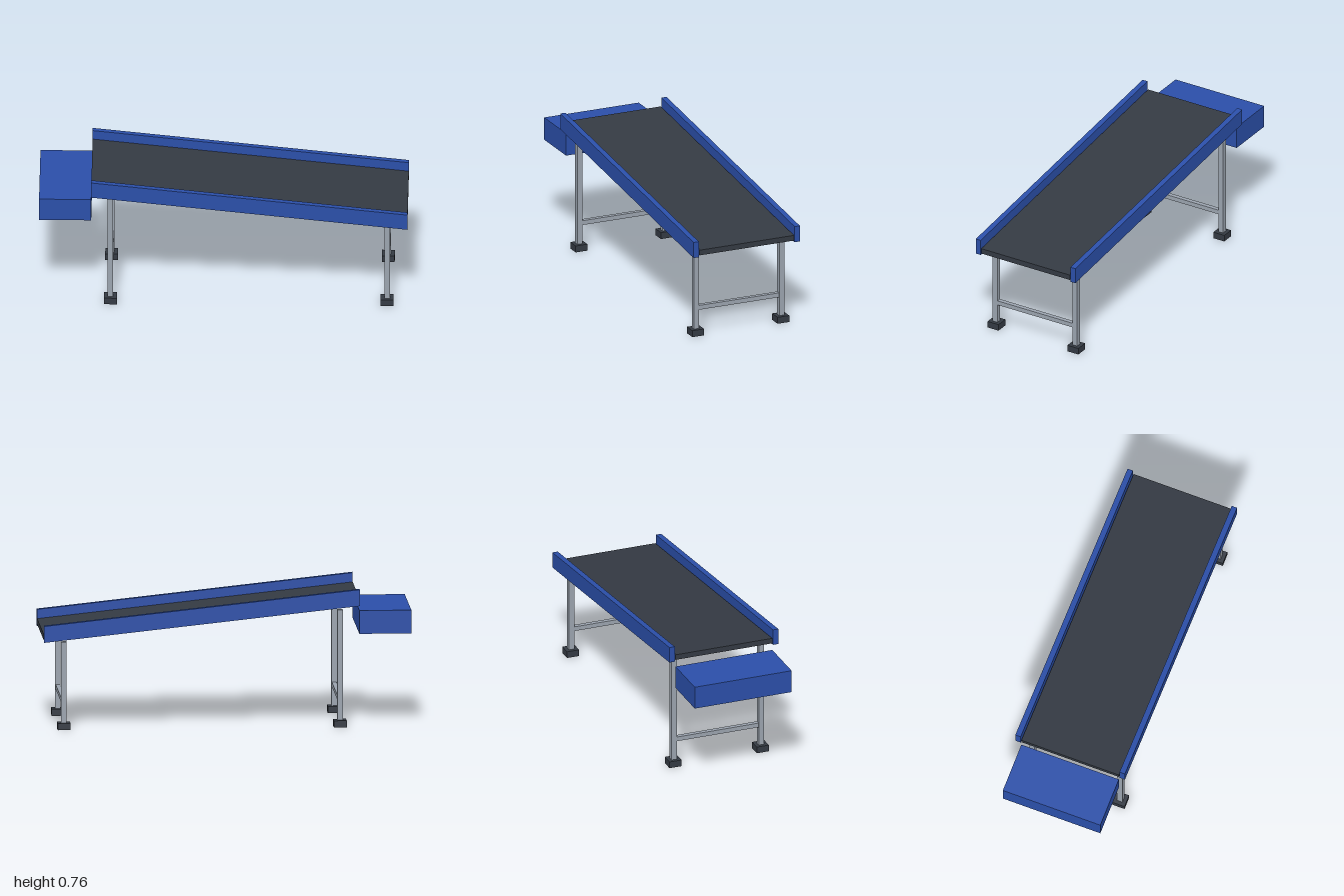
import * as THREE from 'three';

export function createModel() {
  const blue = new THREE.MeshStandardMaterial({ name: 'blue paint', color: 0x2b4fa9 });
  const dark = new THREE.MeshStandardMaterial({ name: 'dark rubber', color: 0x343a43 });
  const steel = new THREE.MeshStandardMaterial({ name: 'grey steel', color: 0x9ba4af });
  const model = new THREE.Group();
  model.name = 'inclinedConveyor';

  const add = (name, geometry, material, parent = model) => {
    const mesh = new THREE.Mesh(geometry, material);
    mesh.name = name;
    parent.add(mesh);
    return mesh;
  };
  const box = (name, material, x0, x1, y0, y1, z0, z1, parent) => {
    const g = new THREE.BoxGeometry(x1 - x0, y1 - y0, z1 - z0);
    g.translate((x0 + x1) / 2, (y0 + y1) / 2, (z0 + z1) / 2);
    return add(name, g, material, parent);
  };

  // Sloping slab with upright ends: a parallelogram extruded along z
  const xHigh = -0.717, xLow = 1, rise = 0.185;
  const slab = (name, material, y, h, z0, z1) => {
    const s = new THREE.Shape([
      new THREE.Vector2(xHigh, y + rise), new THREE.Vector2(xLow, y),
      new THREE.Vector2(xLow, y + h), new THREE.Vector2(xHigh, y + rise + h),
    ]);
    const g = new THREE.ExtrudeGeometry(s, { depth: z1 - z0, bevelEnabled: false });
    g.translate(0, 0, z0);
    return add(name, g, material);
  };

  slab('belt', dark, 0.495, 0.03, -0.283, 0.283);
  slab('leftRail', blue, 0.485, 0.09, 0.287, 0.318);
  slab('rightRail', blue, 0.485, 0.09, -0.318, -0.287);

  // Drive housing below the high end
  box('driveHousing', blue, -1, xHigh, 0.512, 0.64, -0.283, 0.283);

  // Foot: square pad with a socket for the leg
  const square = (Type, r) => new Type([[-r, -r], [r, -r], [r, r], [-r, r]].map(([x, y]) => new THREE.Vector2(x, y)));
  const pad = square(THREE.Shape, 0.035);
  pad.holes.push(square(THREE.Path, 0.015));
  const footGeometry = new THREE.ExtrudeGeometry(pad, { depth: 0.037, bevelEnabled: false }).rotateX(-Math.PI / 2);

  // Leg frames at both ends
  for (const [name, x, top] of [['highLegFrame', -0.613, 0.643], ['lowLegFrame', 0.889, 0.481]]) {
    const frame = new THREE.Group();
    frame.name = name;
    frame.position.x = x;
    model.add(frame);
    for (const z of [-0.255, 0.255]) {
      box('leg', steel, -0.015, 0.015, 0.003, top, z - 0.015, z + 0.015, frame);
      add('foot', footGeometry, dark, frame).position.z = z;
    }
    box('crossbar', steel, -0.0125, 0.0125, 0.143, 0.168, -0.24, 0.24, frame);
  }
  return model;
}
